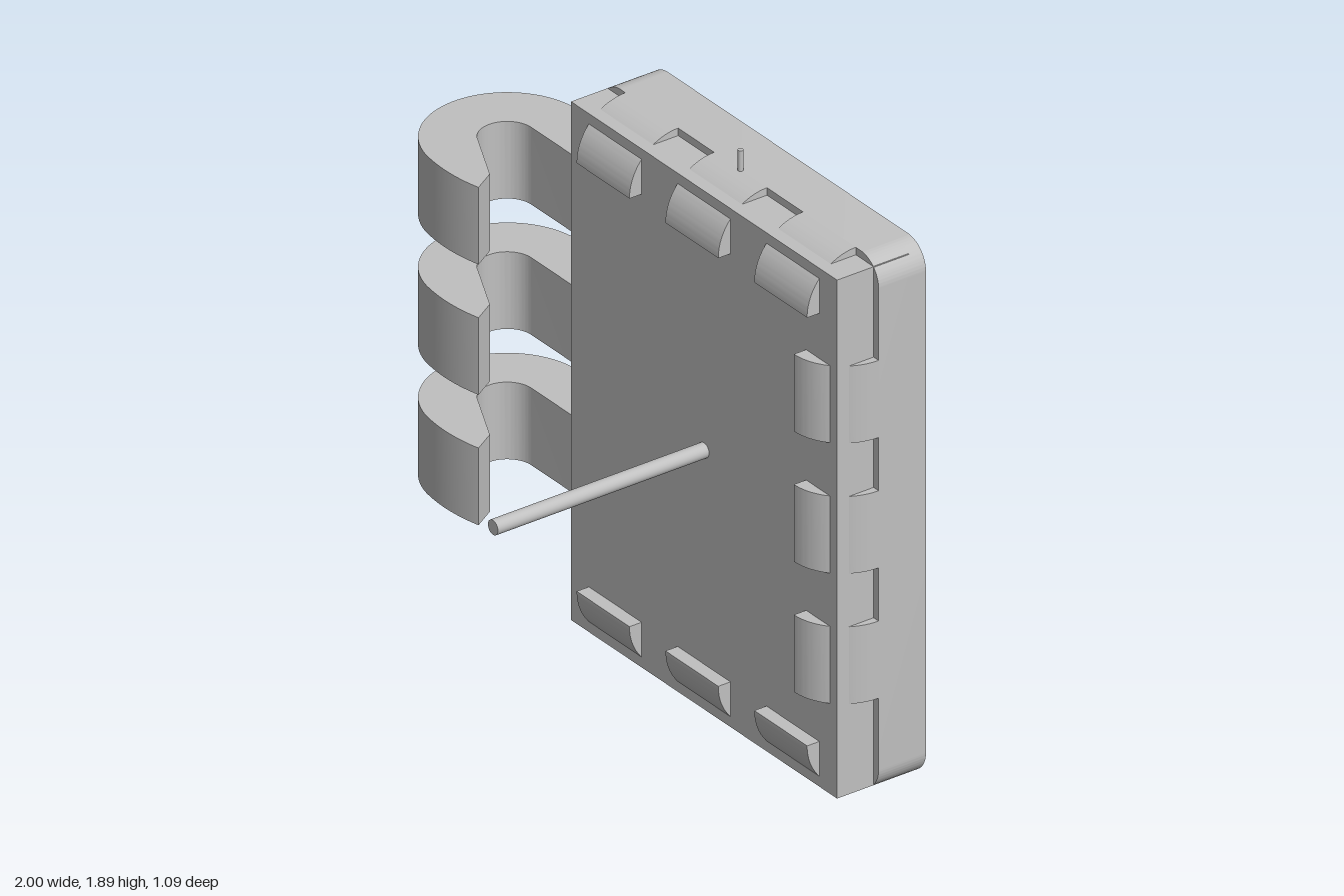
import * as THREE from 'three';
import { toCreasedNormals } from 'three/addons/utils/BufferGeometryUtils.js';

const grey = new THREE.MeshStandardMaterial({ color: 0xc0c0c0 });
grey.name = 'grey plastic';

function extrude(shape, depth) {
  const geo = new THREE.ExtrudeGeometry(shape, { depth, bevelEnabled: false, curveSegments: 20 });
  return toCreasedNormals(geo, 0.5);
}

// Rounded backing plate outline
function plateShape(x0, x1, y0, y1, r) {
  const s = new THREE.Shape();
  s.absarc(x1 - r, y0 + r, r, -Math.PI / 2, 0);
  s.absarc(x1 - r, y1 - r, r, 0, Math.PI / 2);
  s.absarc(x0 + r, y1 - r, r, Math.PI / 2, Math.PI);
  s.absarc(x0 + r, y0 + r, r, Math.PI, Math.PI * 1.5);
  s.closePath();
  return s;
}

// Hook outline seen from above, drawn as (x, -z)
function hookShape() {
  const s = new THREE.Shape();
  s.moveTo(-0.36, 0.37);
  s.lineTo(-0.36, 0.545);
  s.lineTo(-0.735, 0.545);
  s.absarc(-0.735, 0.28, 0.265, Math.PI / 2, Math.PI * 1.47, false);
  s.quadraticCurveTo(-0.65, 0.002, -0.54, 0.03);
  s.lineTo(-0.585, 0.105);
  s.lineTo(-0.78, 0.203);
  s.absarc(-0.735, 0.28, 0.09, Math.PI * 1.33, Math.PI / 2, true);
  s.closePath();
  return s;
}

// Quarter-round clip: curves outward (+y) and forward (+z), long in x
function clipGeometry(length, r) {
  const s = new THREE.Shape();
  s.moveTo(0, 0);
  s.lineTo(r, 0);
  s.absarc(0, 0, r, 0, Math.PI / 2);
  s.closePath();
  const geo = extrude(s, length);
  geo.translate(0, 0, -length / 2);
  geo.applyMatrix4(new THREE.Matrix4().makeBasis(
    new THREE.Vector3(0, 1, 0), new THREE.Vector3(0, 0, 1), new THREE.Vector3(1, 0, 0)));
  return geo;
}

export function createModel() {
  const model = new THREE.Group();
  model.name = 'hookedCase';
  const add = (name, geo, x, y, z) => {
    const mesh = new THREE.Mesh(geo, grey);
    mesh.name = name;
    mesh.position.set(x, y, z);
    model.add(mesh);
    return mesh;
  };

  // Main body
  add('backPlate', extrude(plateShape(-0.38, 1, 0, 1.825, 0.09), 0.175), 0, 0, -0.545);
  add('frontBox', new THREE.BoxGeometry(1.33, 1.774, 0.265), 0.31, 0.9125, -0.3675);

  // Clips wrapping over the top, bottom and one side, hooks on the other side
  const clip = clipGeometry(0.264, 0.18);
  const hook = extrude(hookShape(), 0.264);
  hook.rotateX(-Math.PI / 2);
  for (const i of [-1, 0, 1]) {
    const x = 0.31 + i * 0.444;
    const y = 0.9125 + i * 0.446;
    add('topClip', clip, x, 1.645, -0.37);
    add('bottomClip', clip, x, 0.18, -0.37).rotation.z = Math.PI;
    add('sideClip', clip, 0.82, y, -0.37).rotation.z = -Math.PI / 2;
    add('hook', hook, 0, y - 0.132, 0);
  }

  // Long front pin and short top pin
  const pin = new THREE.CylinderGeometry(0.025, 0.025, 0.8, 32);
  pin.rotateX(Math.PI / 2);
  add('frontPin', pin, 0.31, 0.9125, 0.145);
  add('topPin', new THREE.CylinderGeometry(0.009, 0.009, 0.13, 20), 0.31, 1.83, -0.37);
  return model;
}
